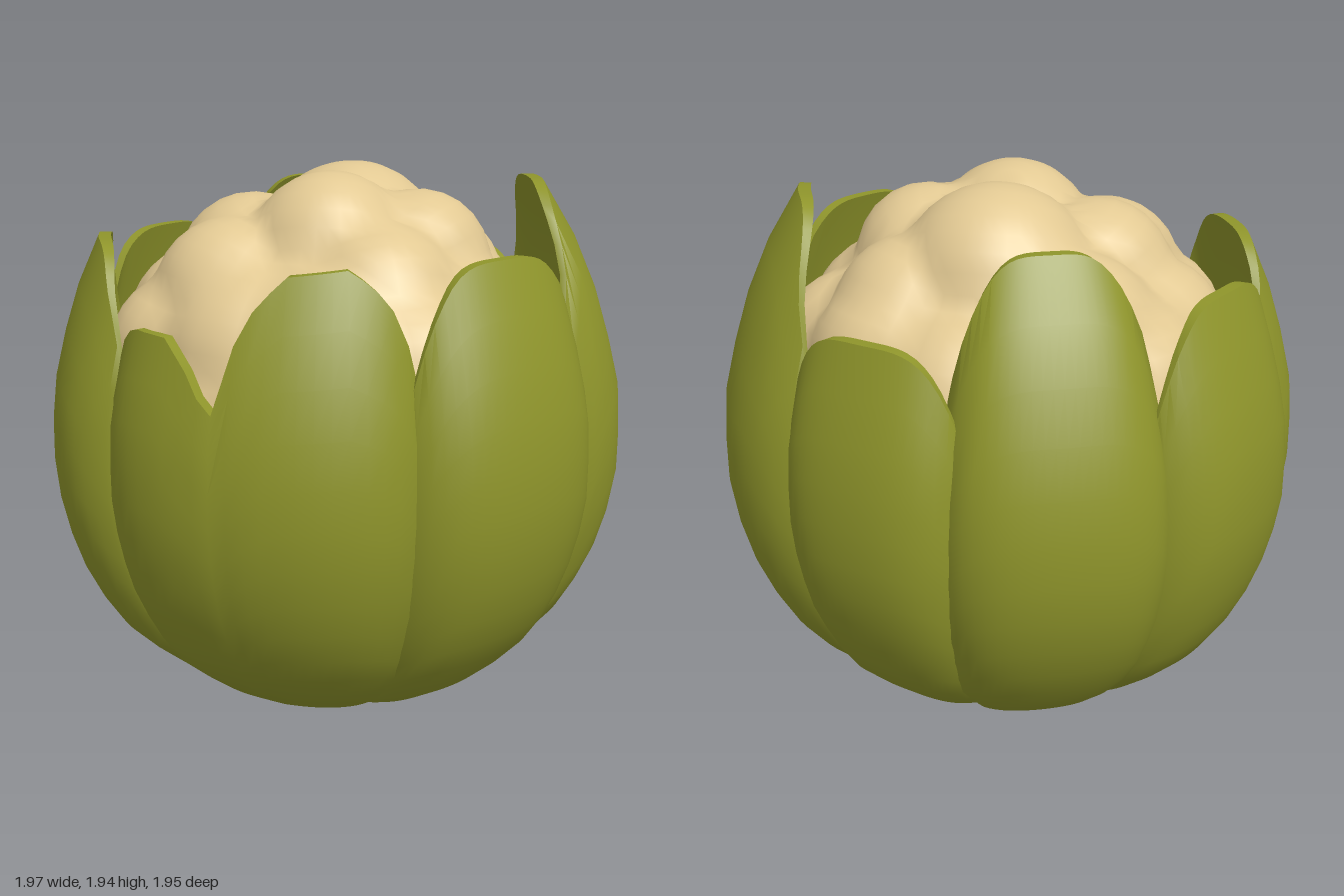
import * as THREE from 'three';
import { mergeVertices, toCreasedNormals } from 'three/addons/utils/BufferGeometryUtils.js';

// piecewise-linear lookup in a list of [key, value]
function lookup(list, k) {
  if (k <= list[0][0]) return list[0][1];
  for (let i = 1; i < list.length; i++) {
    const [a, av] = list[i - 1], [b, bv] = list[i];
    if (k <= b) return av + (bv - av) * (k - a) / (b - a);
  }
  return list[list.length - 1][1];
}

// height -> radius of the whole head of leaves
const profile = [[0.02, 0.06], [0.035, 0.25], [0.1, 0.43], [0.2, 0.6], [0.33, 0.755], [0.45, 0.84], [0.6, 0.915],
  [0.75, 0.96], [0.9, 0.985], [1.05, 0.985], [1.2, 0.975], [1.4, 0.925], [1.6, 0.86], [1.72, 0.8], [1.9, 0.69]];

// a thick cupped leaf: outer skin, inner skin and a top rim
function leafGeometry({ from, to, top, drop = 0.5, out = 0, lean = 0, contour }) {
  const NU = 24, NV = 16, row = 2 * (NU + 1);
  const mid = (from + to) / 2, half = (to - from) / 2;
  const pos = [], idx = [];
  for (let j = 0; j <= NV; j++) {
    const v = j / NV;
    for (let k = 0; k < row; k++) {
      const inner = k > NU;
      const u = (inner ? row - 1 - k : k) / NU * 2 - 1;
      const e = Math.abs(u);
      const height = contour ? lookup(contour, u) : top - drop * e ** 3.8;
      let y = 0.02 + (height - 0.02) * v ** 1.6;
      let r = lookup(profile, y) * (1 - 0.125 * e ** 4) + out * Math.min(1, y * 3) - lean * v ** 5;
      if (inner) {
        const t = (0.025 + 0.07 * (1 - u * u)) * (1 - 0.55 * v ** 8);
        r = Math.max(0.02, r - t);
        y += t * (1 - v);
      }
      const a = THREE.MathUtils.degToRad(mid + half * u);
      pos.push(Math.sin(a) * r, y, Math.cos(a) * r);
    }
  }
  for (let j = 0; j < NV; j++) for (let k = 0; k < row; k++) {
    const a = j * row + k, b = j * row + (k + 1) % row;
    idx.push(a, b, b + row, a, b + row, a + row);
  }
  for (let i = 0; i < NU; i++) {
    const a = NV * row + i, b = a + 1, d = NV * row + row - 1 - i, c = d - 1;
    idx.push(a, b, c, a, c, d);
  }
  const g = new THREE.BufferGeometry();
  g.setAttribute('position', new THREE.Float32BufferAttribute(pos, 3));
  g.setIndex(idx);
  return toCreasedNormals(g, 0.9);
}

// the curd: an ellipsoid swollen by low round florets
function curdGeometry() {
  // floret direction, angular size and swelling
  const florets = [
    [0, 0.68, -0.23, 0.42, 0.15], [0.02, 0.7, 0.17, 0.36, 0.14], [-0.34, 0.62, 0.05, 0.32, 0.1], [0.32, 0.64, 0.02, 0.32, 0.12],
    [-0.32, 0.52, 0.3, 0.34, 0.11], [0.26, 0.55, 0.33, 0.32, 0.09], [0.32, 0.57, -0.36, 0.32, 0.09], [-0.34, 0.52, -0.38, 0.34, 0.09]];
  for (let i = 0; i < 11; i++) {
    const a = i / 11 * Math.PI * 2 + 0.2;
    florets.push([Math.sin(a) * 0.6, 0.34 + 0.05 * Math.cos(i * 3.1), Math.cos(a) * 0.6, 0.34, 0.085 + 0.02 * Math.sin(i * 2.3)]);
  }
  for (let i = 0; i < 13; i++) {
    const a = i / 13 * Math.PI * 2;
    florets.push([Math.sin(a) * 0.7, 0.08 + 0.04 * Math.sin(i * 1.9), Math.cos(a) * 0.7, 0.36, 0.08]);
  }
  const bumps = florets.map(([x, y, z, size, swell]) => ({ dir: new THREE.Vector3(x, y, z).normalize(), size, swell }));
  let g = new THREE.SphereGeometry(1, 64, 44);
  g.deleteAttribute('uv');
  g.deleteAttribute('normal');
  g = mergeVertices(g, 1e-4);
  const p = g.attributes.position, d = new THREE.Vector3();
  for (let i = 0; i < p.count; i++) {
    d.fromBufferAttribute(p, i).normalize();
    let lift = 0;
    for (const { dir, size, swell } of bumps) lift = Math.max(lift, swell * (1 - (d.angleTo(dir) / size) ** 2));
    p.setXYZ(i, d.x * (0.77 + lift), 1.1 + d.y * (0.72 + lift), d.z * (0.77 + lift));
  }
  g.computeVertexNormals();
  return g;
}

export function createModel() {
  const model = new THREE.Group();
  model.name = 'cauliflower';
  const leafGreen = new THREE.MeshStandardMaterial({ color: 0x8f952b });
  leafGreen.name = 'leaf green';
  const curdCream = new THREE.MeshStandardMaterial({ color: 0xe2c993 });
  curdCream.name = 'curd cream';

  const add = (name, geometry, material) => {
    const mesh = new THREE.Mesh(geometry, material);
    mesh.name = name;
    model.add(mesh);
    return mesh;
  };

  add('curd', curdGeometry(), curdCream);

  // leaves around the head, angles in degrees from the front towards +x
  const leaves = {
    frontLeaf: { from: -44, to: 34, out: 0, contour: [[-1, 1.15], [-0.93, 1.34], [-0.85, 1.44], [-0.72, 1.5], [-0.42, 1.5],
      [-0.3, 1.44], [-0.2, 1.38], [-0.1, 1.25], [0, 1.5], [0.1, 1.62], [0.25, 1.7], [0.6, 1.72], [0.8, 1.63], [0.9, 1.53], [1, 1.28]] },
    frontLeftLeaf: { from: 29, to: 85, top: 1.72, out: -0.005 },
    leftLeaf: { from: 78, to: 143, top: 1.9, drop: 0.56, out: 0.015 },
    backLeftLeaf: { from: 137, to: 184, top: 1.58, drop: 0.36, out: -0.01 },
    backLeaf: { from: 177, to: 229, top: 1.84, drop: 0.5, out: 0.015, lean: 0.07 },
    backRightLeaf: { from: 222, to: 273, top: 1.67, drop: 0.42, out: 0.02 },
    frontRightLeaf: { from: 266, to: 322, top: 1.72, drop: 0.42, out: 0.022 },
  };
  for (const [name, spec] of Object.entries(leaves)) add(name, leafGeometry(spec), leafGreen);

  // cut stem under the head
  add('stem', new THREE.CylinderGeometry(0.24, 0.09, 0.035, 16), leafGreen).position.set(-0.08, 0.0175, 0.03);
  return model;
}
